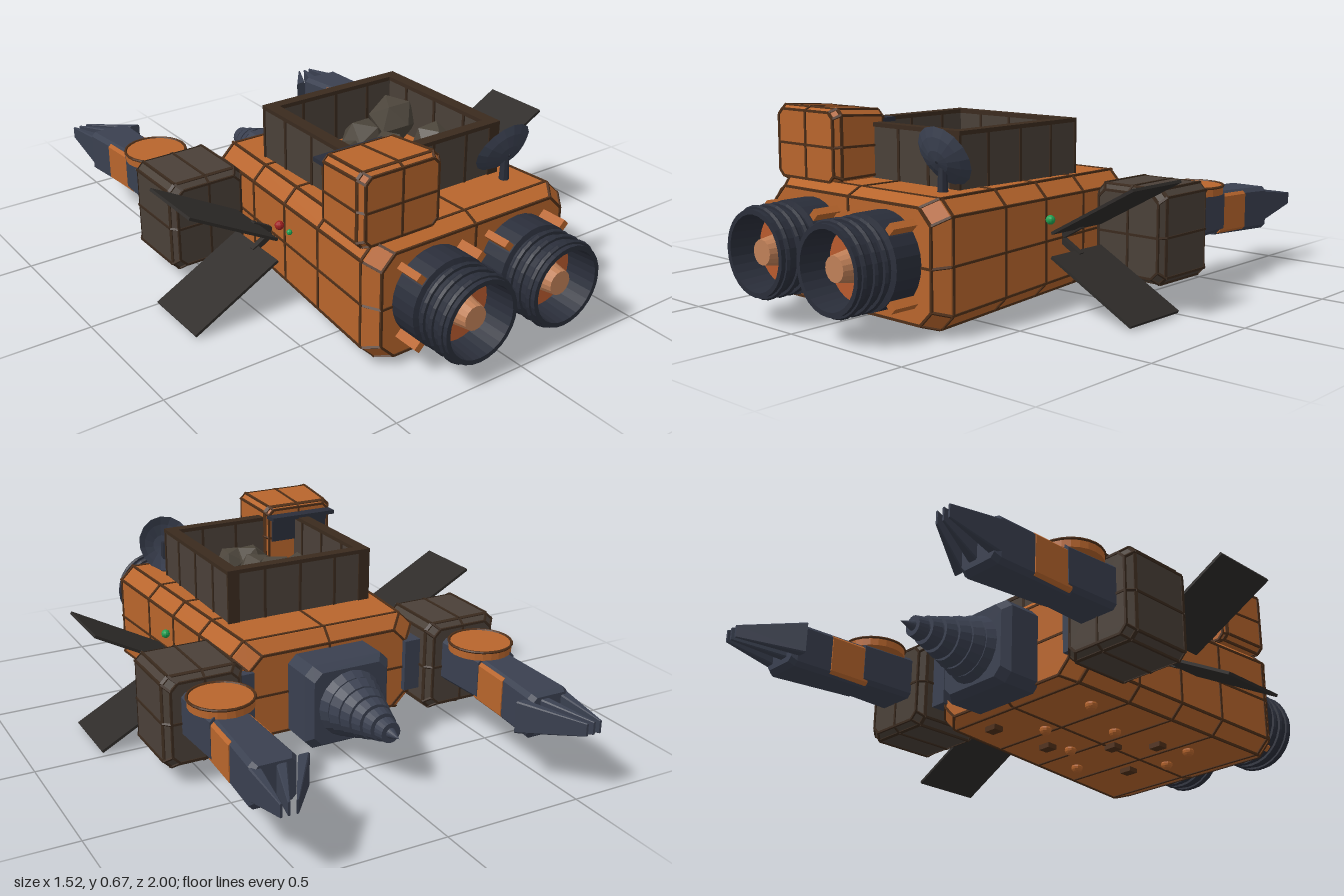
import * as THREE from 'three';

const mat = (color, side = THREE.FrontSide) =>
  new THREE.MeshStandardMaterial({ color, flatShading: true, side });
const M = {
  orange: mat(0xb8652c), seam: mat(0x4f2f18), brown: mat(0x4a4038), brownSeam: mat(0x3a2a1e),
  steel: mat(0x3a4050), dark: mat(0x2a2e3a, THREE.DoubleSide), fin: mat(0x2e2b29),
  rock: mat(0x4c453b), glow: mat(0xb85a2e), hub: mat(0xc08058),
  red: mat(0xa02020), green: mat(0x20a050), dish: mat(0x3a4050, THREE.DoubleSide),
};

function add(parent, name, geo, material, x = 0, y = 0, z = 0) {
  const m = new THREE.Mesh(geo, material);
  m.name = name;
  m.position.set(x, y, z);
  parent.add(m);
  return m;
}

function box(parent, name, material, x0, x1, y0, y1, z0, z1) {
  return add(parent, name, new THREE.BoxGeometry(Math.abs(x1 - x0), y1 - y0, z1 - z0), material,
    (x0 + x1) / 2, (y0 + y1) / 2, (z0 + z1) / 2);
}

// thin square bar between two points
function beam(parent, name, a, b, t, material) {
  const d = b.clone().sub(a);
  const m = add(parent, name, new THREE.BoxGeometry(t, d.length(), t), material);
  m.position.copy(a).add(b).multiplyScalar(0.5);
  m.quaternion.setFromUnitVectors(new THREE.Vector3(0, 1, 0), d.normalize());
  return m;
}

// chamfered cross-section; station = [z, halfWidth, yLow, yHigh, chamfer, centreX]
function section([z, w, y0, y1, c, cx = 0]) {
  return [[w, y0 + c], [w, y1 - c], [w - c, y1], [c - w, y1], [-w, y1 - c], [-w, y0 + c], [c - w, y0], [w - c, y0]]
    .map(([x, y]) => new THREE.Vector3(cx + x, y, z));
}

// closed skin over stations of ascending z
function loft(stations) {
  const rings = stations.map(section), pos = [];
  const tri = (...v) => v.forEach(p => pos.push(p.x, p.y, p.z));
  for (let k = 0; k < rings.length - 1; k++) {
    for (let i = 0; i < 8; i++) {
      const j = (i + 1) % 8, A = rings[k], B = rings[k + 1];
      tri(A[i], A[j], B[j]);
      tri(A[i], B[j], B[i]);
    }
  }
  const first = rings[0], last = rings[rings.length - 1];
  for (let i = 1; i < 7; i++) {
    tri(last[0], last[i], last[i + 1]);
    tri(first[0], first[i + 1], first[i]);
  }
  const g = new THREE.BufferGeometry();
  g.setAttribute('position', new THREE.Float32BufferAttribute(pos, 3));
  g.computeVertexNormals();
  return g;
}

// station interpolated at z, grown by e
function stationAt(st, z, e) {
  let k = 0;
  while (k < st.length - 2 && z > st[k + 1][0]) k++;
  const t = (z - st[k][0]) / (st[k + 1][0] - st[k][0]);
  const s = st[k].map((v, i) => v + (st[k + 1][i] - v) * t);
  return [z, s[1] + e, s[2] - e, s[3] + e, s[4], s[5] || 0];
}

// panelled body: skin, cross seams at the given z, seams along the edges and face centres
function panelled(parent, name, st, cuts, skin, seam) {
  const g = new THREE.Group();
  g.name = name;
  parent.add(g);
  add(g, name + 'Skin', loft(st), skin);
  for (const z of cuts)
    add(g, name + 'CrossSeam', loft([stationAt(st, z - 0.005, 0.003), stationAt(st, z + 0.005, 0.003)]), seam);
  for (let k = 0; k < st.length - 1; k++) {
    const A = section(st[k]), B = section(st[k + 1]);
    for (let i = 0; i < 8; i++) {
      beam(g, name + 'EdgeSeam', A[i], B[i], 0.008, seam);
      if (i % 2 === 0) beam(g, name + 'MidSeam', A[i].clone().lerp(A[i + 1], 0.5), B[i].clone().lerp(B[i + 1], 0.5), 0.008, seam);
    }
  }
  for (const end of [st[0], st[st.length - 1]]) {
    const p = section(end), mid = i => p[i].clone().lerp(p[i + 1], 0.5);
    p.forEach((v, i) => beam(g, name + 'EndSeam', v, p[(i + 1) % 8], 0.008, seam));
    beam(g, name + 'EndSeam', mid(0), mid(4), 0.008, seam);
    beam(g, name + 'EndSeam', mid(2), mid(6), 0.008, seam);
  }
  return g;
}

function engine(root, x) {
  const g = new THREE.Group();
  g.name = 'engine';
  g.position.set(x, 0.24, 0.75);
  root.add(g);
  const profile = [[0.155, 0], [0.155, 0.11], [0.136, 0.115], [0.142, 0.25], [0.126, 0.25], [0.116, 0.12]];
  add(g, 'nozzle', new THREE.LatheGeometry(profile.map(p => new THREE.Vector2(...p)), 28).rotateX(Math.PI / 2), M.dark);
  for (const z of [0.14, 0.18, 0.225]) add(g, 'nozzleRing', new THREE.TorusGeometry(0.143, 0.01, 6, 28), M.dark, 0, 0, z);
  add(g, 'burner', new THREE.CylinderGeometry(0.122, 0.122, 0.02, 28).rotateX(Math.PI / 2), M.glow, 0, 0, 0.13);
  add(g, 'burnerCone', new THREE.CylinderGeometry(0.042, 0.055, 0.08, 16).rotateX(Math.PI / 2), M.hub, 0, 0, 0.18);
  // diagonal mounting brackets
  for (let i = 0; i < 4; i++) {
    const a = Math.PI / 4 + i * Math.PI / 2;
    add(g, 'bracket', new THREE.BoxGeometry(0.05, 0.025, 0.1), M.orange, Math.cos(a) * 0.16, Math.sin(a) * 0.16, 0.055).rotation.z = a;
  }
}

function arm(root, s) {
  const g = new THREE.Group();
  g.name = s > 0 ? 'leftArm' : 'rightArm';
  root.add(g);
  const x = 0.505 * s;
  panelled(g, 'shoulder', [[-0.325, 0.12, 0.10, 0.385, 0.025, x], [-0.3, 0.143, 0.08, 0.405, 0.025, x],
    [-0.07, 0.143, 0.08, 0.405, 0.025, x], [-0.045, 0.125, 0.10, 0.385, 0.025, x]], [-0.3, -0.07], M.brown, M.brownSeam);
  box(g, 'shoulderJoint', M.steel, 0.3 * s, 0.4 * s, 0.15, 0.34, -0.27, -0.1);
  add(g, 'upperArm', loft([[-0.53, 0.075, 0.19, 0.345, 0.015, x], [-0.3, 0.085, 0.19, 0.35, 0.015, x]]), M.steel);
  add(g, 'elbowCap', new THREE.CylinderGeometry(0.11, 0.11, 0.03, 24), M.orange, 0.5 * s, 0.352, -0.44);
  add(g, 'elbowRim', new THREE.TorusGeometry(0.11, 0.005, 6, 24).rotateX(Math.PI / 2), M.seam, 0.5 * s, 0.367, -0.44);
  add(g, 'forearm', loft([[-0.83, 0.07, 0.18, 0.315, 0.015, x], [-0.81, 0.08, 0.165, 0.325, 0.015, x],
    [-0.5, 0.065, 0.18, 0.34, 0.015, x]]), M.steel);
  add(g, 'forearmSleeve', loft([[-0.67, 0.077, 0.18, 0.325, 0.01, x], [-0.51, 0.072, 0.185, 0.33, 0.01, x]]), M.orange);
  // three fingers: base x, tip x
  for (const [b, t] of [[0.4, 0.52], [0.475, 0.548], [0.565, 0.573]])
    add(g, 'claw', loft([[-1, 0.004, 0.235, 0.28, 0.002, t * s], [-0.81, 0.02, 0.195, 0.31, 0.005, b * s]]), M.steel);
  // two slanted panels
  for (const [y0, y1] of [[0.28, 0.457], [0.2, 0.025]]) {
    const w = Math.hypot(0.325, y1 - y0);
    const m = add(g, 'solarFin', new THREE.BoxGeometry(w, 0.01, 0.26), M.fin, 0.593 * s, (y0 + y1) / 2, 0.14);
    m.rotation.z = Math.atan2(y1 - y0, 0.325) * s;
    beam(g, 'finStrut', new THREE.Vector3(0.36 * s, 0.24, 0.14), new THREE.Vector3(0.45 * s, y0 + (y1 - y0) * 0.06, 0.14), 0.02, M.fin);
  }
}

export function createModel() {
  const root = new THREE.Group();
  root.name = 'miningShip';

  // hull
  panelled(root, 'hull', [[-0.25, 0.31, 0.09, 0.385, 0.05], [-0.21, 0.355, 0.065, 0.43, 0.05],
    [0.71, 0.41, 0.035, 0.44, 0.05], [0.76, 0.375, 0.05, 0.415, 0.05]], [-0.2, 0.03, 0.24, 0.45, 0.7], M.orange, M.seam);

  // cargo bin with rails
  const bin = new THREE.Group();
  bin.name = 'cargoBin';
  root.add(bin);
  for (const s of [-1, 1]) {
    box(bin, 'binSide', M.brown, 0.245 * s, 0.28 * s, 0.42, 0.62, -0.03, 0.54);
    box(bin, 'binRail', M.brownSeam, 0.24 * s, 0.285 * s, 0.612, 0.626, -0.035, 0.545);
    for (const z of [-0.03, 0.1, 0.255, 0.41, 0.54]) box(bin, 'binRib', M.brownSeam, 0.24 * s, 0.284 * s, 0.43, 0.62, z - 0.005, z + 0.005);
  }
  for (const z of [-0.015, 0.525]) {
    box(bin, 'binEnd', M.brown, -0.26, 0.26, 0.42, 0.62, z - 0.015, z + 0.015);
    box(bin, 'binRail', M.brownSeam, -0.28, 0.28, 0.612, 0.626, z - 0.02, z + 0.02);
    for (const x of [-0.14, 0, 0.14]) box(bin, 'binRib', M.brownSeam, x - 0.005, x + 0.005, 0.43, 0.62, z - 0.019, z + 0.019);
  }

  // ore: x, z, radius
  const ore = [[0.19, 0.09, 0.09], [-0.01, 0.18, 0.085], [-0.13, 0.24, 0.07], [0.02, 0.285, 0.075],
    [0.19, 0.31, 0.075], [-0.02, 0.42, 0.07], [0.045, 0.45, 0.065], [0.19, 0.435, 0.055]];
  ore.forEach(([x, z, r], i) =>
    add(root, 'rock', new THREE.IcosahedronGeometry(r, 0).rotateX(0.5).rotateY(i * 1.3), M.rock, x, 0.43 + r * 0.8, z));

  // cabin with visor and window
  panelled(root, 'cabin', [[0.485, 0.13, 0.43, 0.655, 0.02, -0.265], [0.505, 0.143, 0.43, 0.667, 0.02, -0.265],
    [0.69, 0.155, 0.43, 0.68, 0.02, -0.265], [0.715, 0.14, 0.44, 0.668, 0.02, -0.265]], [0.5, 0.69], M.orange, M.seam);
  box(root, 'visor', M.dark, -0.4, -0.13, 0.622, 0.637, 0.435, 0.5);
  box(root, 'window', M.dark, -0.385, -0.145, 0.53, 0.62, 0.475, 0.49);

  // dish on a mast
  add(root, 'dishMast', new THREE.CylinderGeometry(0.012, 0.018, 0.13, 8), M.dark, 0.265, 0.49, 0.6);
  const dish = new THREE.Group();
  dish.name = 'dish';
  dish.position.set(0.262, 0.533, 0.624);
  dish.rotation.x = -1.115;
  root.add(dish);
  const bowl = [0, 0.04, 0.08, 0.108].map(r => new THREE.Vector2(r, r * r * 3.4));
  add(dish, 'dishBowl', new THREE.LatheGeometry(bowl, 16), M.dish);
  add(dish, 'dishFeed', new THREE.CylinderGeometry(0.004, 0.006, 0.06, 6), M.dark, 0, 0.03, 0);

  for (const s of [-1, 1]) {
    engine(root, 0.178 * s);
    arm(root, s);
    add(root, 'runningLight', new THREE.SphereGeometry(0.016, 10, 8), s > 0 ? M.green : M.red, 0.41 * s, 0.32, 0.25);
  }
  add(root, 'smallLight', new THREE.SphereGeometry(0.01, 8, 6), M.green, -0.41, 0.32, 0.31);

  // drill
  add(root, 'drillBlock', loft([[-0.4, 0.14, 0.085, 0.35, 0.03], [-0.37, 0.162, 0.065, 0.37, 0.03],
    [-0.24, 0.162, 0.065, 0.37, 0.03]]), M.steel);
  const drill = new THREE.Group();
  drill.name = 'drill';
  drill.position.set(0, 0.218, -0.39);
  root.add(drill);
  add(drill, 'drillCone', new THREE.ConeGeometry(0.115, 0.32, 20).rotateX(-Math.PI / 2), M.steel, 0, 0, -0.16);
  for (let i = 0; i < 6; i++) {
    const r = 0.125 - i * 0.0165;
    add(drill, 'drillThread', new THREE.CylinderGeometry(r * 0.84, r, 0.035, 20).rotateX(-Math.PI / 2), M.steel, 0, 0, -0.022 - i * 0.046);
  }

  // belly fittings: x, z
  const domes = [[-0.195, 0.5], [-0.12, 0.18], [-0.05, 0.55], [0.23, 0.35], [0.05, 0.0], [-0.22, -0.05], [0.12, 0.2]];
  domes.forEach(([x, z]) => add(root, 'bellyDome', new THREE.SphereGeometry(0.022, 10, 8), M.orange, x, 0.052 - z * 0.03, z));
  for (const [x, z] of [[0.16, 0.12], [-0.02, 0.28], [-0.15, 0.38], [0.18, -0.13], [0.1, 0.5]])
    add(root, 'bellyVent', new THREE.BoxGeometry(0.05, 0.025, 0.04), M.seam, x, 0.052 - z * 0.03, z);
  return root;
}
